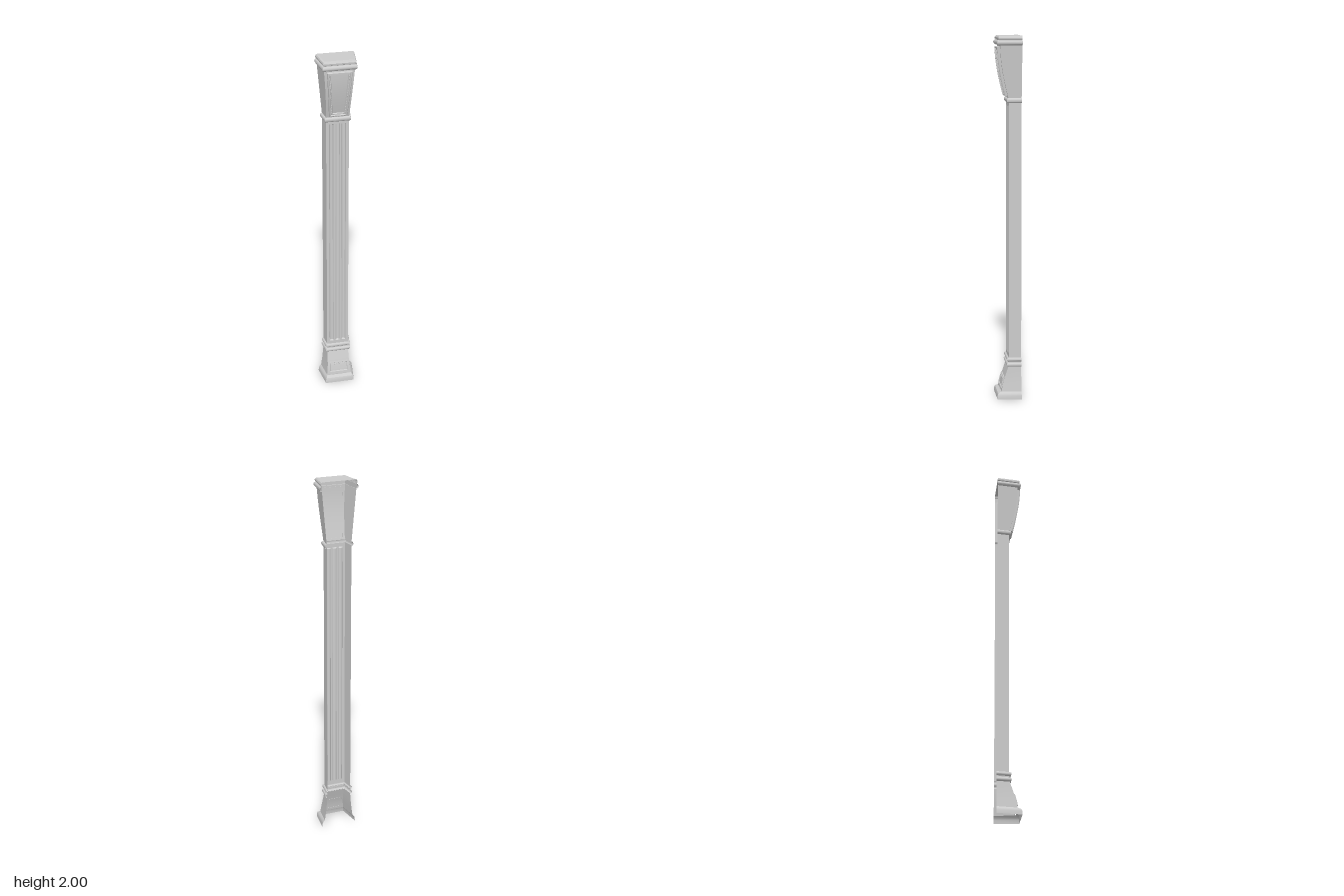
import * as THREE from 'three';
import { toCreasedNormals } from 'three/addons/utils/BufferGeometryUtils.js';

const BACK = -0.067;
const material = new THREE.MeshStandardMaterial({ color: 0xcccccc, side: THREE.DoubleSide });

function addMesh(parent, name, geometry, crease = 0.6) {
  const mesh = new THREE.Mesh(toCreasedNormals(geometry, crease), material);
  mesh.name = name;
  parent.add(mesh);
  return mesh;
}

// Surface through a grid of points; skip(i) leaves out a column
function gridSurface(rows, skip = () => false) {
  const n = rows[0].length, index = [];
  for (let j = 0; j < rows.length - 1; j++) {
    for (let i = 0; i < n - 1; i++) {
      if (skip(i)) continue;
      const a = j * n + i, b = a + 1, d = a + n, c = d + 1;
      index.push(a, b, c, a, c, d);
    }
  }
  const g = new THREE.BufferGeometry();
  g.setAttribute('position', new THREE.Float32BufferAttribute(rows.flat(2), 3));
  g.setIndex(index);
  return g;
}

// Half width at the front: the sides draw in towards the viewer
const frontHalf = (half, z) => half - 0.13 * (z - BACK);

// Open-backed shell from levels [y, half width at the back, front z]
function shell(levels, openFront = false) {
  const rows = levels.map(([y, w, z]) => {
    const f = frontHalf(w, z);
    return [[-w, y, BACK], [-f, y, z], [f, y, z], [w, y, BACK]];
  });
  return gridSurface(rows, (i) => openFront && i === 1);
}

// Rounded moulding wrapped round three sides
function moulding(y0, y1, half, z, bulge) {
  const levels = [];
  for (let k = 0; k <= 8; k++) {
    const a = (k / 8) * Math.PI, out = bulge * Math.sin(a);
    levels.push([(y0 + y1) / 2 - ((y1 - y0) / 2) * Math.cos(a), half + out, z + out]);
  }
  return shell(levels);
}

// Framed relief laid over a curved front; each ring is [inset, height]
function relief(y0, y1, w0, w1, rings, surfaceZ) {
  const last = rings[rings.length - 1][0], ys = [], steps = 8;
  rings.forEach(([d]) => ys.push(y0 + d));
  for (let k = 1; k < steps; k++) ys.push(y0 + last + ((y1 - y0 - 2 * last) * k) / steps);
  [...rings].reverse().forEach(([d]) => ys.push(y1 - d));
  const rows = ys.map((y, j) => {
    const w = THREE.MathUtils.lerp(w0, w1, (y - y0) / (y1 - y0));
    const xs = [...rings.map(([d]) => d - w), ...[...rings].reverse().map(([d]) => w - d)];
    return xs.map((x, i) => {
      const r = Math.min(i, xs.length - 1 - i, j, ys.length - 1 - j, rings.length - 1);
      return [x, y, surfaceZ(y) + rings[r][1]];
    });
  });
  return gridSurface(rows);
}

function bead(parent, x, y, z, r) {
  const m = addMesh(parent, 'bead', new THREE.SphereGeometry(r, 8, 6), 1.2);
  m.position.set(x, y, z);
}

function createBase() {
  const g = new THREE.Group();
  g.name = 'base';
  addMesh(g, 'plinth', shell([[0, 0.1, 0.067], [0.02, 0.099, 0.066], [0.03, 0.095, 0.062], [0.04, 0.085, 0.046]]));
  const curve = [[0.04, 0.085, 0.042], [0.07, 0.081, 0.037], [0.1, 0.077, 0.03], [0.14, 0.073, 0.017], [0.182, 0.07, 0.003]];
  addMesh(g, 'flaredPedestal', shell(curve));
  const z = (y) => {
    const k = Math.max(0, curve.findIndex((p, i) => i < curve.length - 1 && y <= curve[i + 1][0]));
    const [a, b] = [curve[k], curve[k + 1]];
    return a[2] + ((b[2] - a[2]) * (y - a[0])) / (b[0] - a[0]);
  };
  addMesh(g, 'tablet', relief(0.055, 0.118, 0.057, 0.053,
    [[0, -0.002], [0, 0.006], [0.005, 0.006], [0.008, 0.002]], z), 0.4);
  for (let k = -4; k <= 4; k++) bead(g, k * 0.0095, 0.104, z(0.104) + 0.003, 0.003);
  addMesh(g, 'lowerRing', moulding(0.18, 0.203, 0.07, 0.002, 0.011));
  addMesh(g, 'ringNeck', shell([[0.2, 0.071, 0.003], [0.213, 0.071, 0.003]]));
  addMesh(g, 'upperRing', moulding(0.21, 0.232, 0.07, 0.002, 0.01));
  return g;
}

function createShaft() {
  const g = new THREE.Group();
  g.name = 'shaft';
  const y0 = 0.225, y1 = 1.65, half = 0.07, f = frontHalf(half, 0);
  addMesh(g, 'shaftSides', shell([[y0, half, 0], [y1, half, 0]], true));
  // Front face pierced by three flutes
  const face = new THREE.Shape([[-f, y0], [f, y0], [f, y1], [-f, y1]].map((p) => new THREE.Vector2(...p)));
  const b = 0.25, t = 1.628, r = 0.012;
  for (const x of [-0.034, 0, 0.034]) {
    face.holes.push(new THREE.Path([[x - r, b], [x - r, t], [x + r, t], [x + r, b]].map((p) => new THREE.Vector2(...p))));
    const section = [];
    for (let k = 0; k <= 8; k++) {
      const a = (k / 8) * Math.PI;
      section.push([x - r * Math.cos(a), -0.01 * Math.sin(a)]);
    }
    // The end rows pinch to the face and close the flute
    const row = (y, depth) => section.map(([px, pz]) => [px, y, pz * depth]);
    addMesh(g, 'flute', gridSurface([row(b, 0), row(b + 0.004, 1), row(t - 0.004, 1), row(t, 0)]));
  }
  addMesh(g, 'shaftFront', new THREE.ShapeGeometry(face));
  return g;
}

function createCapital() {
  const g = new THREE.Group();
  g.name = 'capital';
  const y0 = 1.665, y1 = 1.952;
  const z = (y) => 0.002 + 0.046 * Math.sin(((y - y0) / (y1 - y0)) * Math.PI / 2);
  addMesh(g, 'neckRing', moulding(1.643, 1.67, 0.07, 0.001, 0.011));
  const body = [];
  for (let k = 0; k <= 10; k++) {
    const y = y0 + ((y1 - y0) * k) / 10;
    body.push([y, 0.07 + 0.026 * (k / 10), z(y)]);
  }
  addMesh(g, 'flaredBody', shell(body));
  addMesh(g, 'panelFrame', relief(1.678, 1.942, 0.047, 0.066,
    [[0, -0.002], [0, 0.012], [0.003, 0.016], [0.008, 0.016], [0.011, 0.009], [0.016, 0.009], [0.019, 0.002]], z), 0.4);
  // Beads along the inner sides of the frame
  for (let k = 0; k < 14; k++) {
    const y = 1.702 + k * 0.0165;
    const x = THREE.MathUtils.lerp(0.047, 0.066, (y - 1.678) / 0.264) - 0.0135;
    for (const s of [-1, 1]) bead(g, s * x, y, z(y) + 0.009, 0.0025);
  }
  // Stepped crown with a closed top
  addMesh(g, 'crownRing', moulding(1.95, 1.977, 0.096, 0.055, 0.012));
  addMesh(g, 'crownNeck', shell([[1.952, 0.096, 0.047], [1.952, 0.098, 0.056], [1.982, 0.098, 0.056]]));
  addMesh(g, 'crownCap', shell([[1.977, 0.097, 0.053], [1.981, 0.102, 0.059], [1.99, 0.103, 0.06],
    [1.997, 0.099, 0.055], [2, 0.092, 0.046]]));
  const f = frontHalf(0.092, 0.046);
  addMesh(g, 'topLid', gridSurface([[[-f, 2, 0.046], [f, 2, 0.046]], [[-0.092, 2, BACK], [0.092, 2, BACK]]]));
  return g;
}

export function createModel() {
  const model = new THREE.Group();
  model.name = 'pilaster';
  model.add(createBase(), createShaft(), createCapital());
  return model;
}
